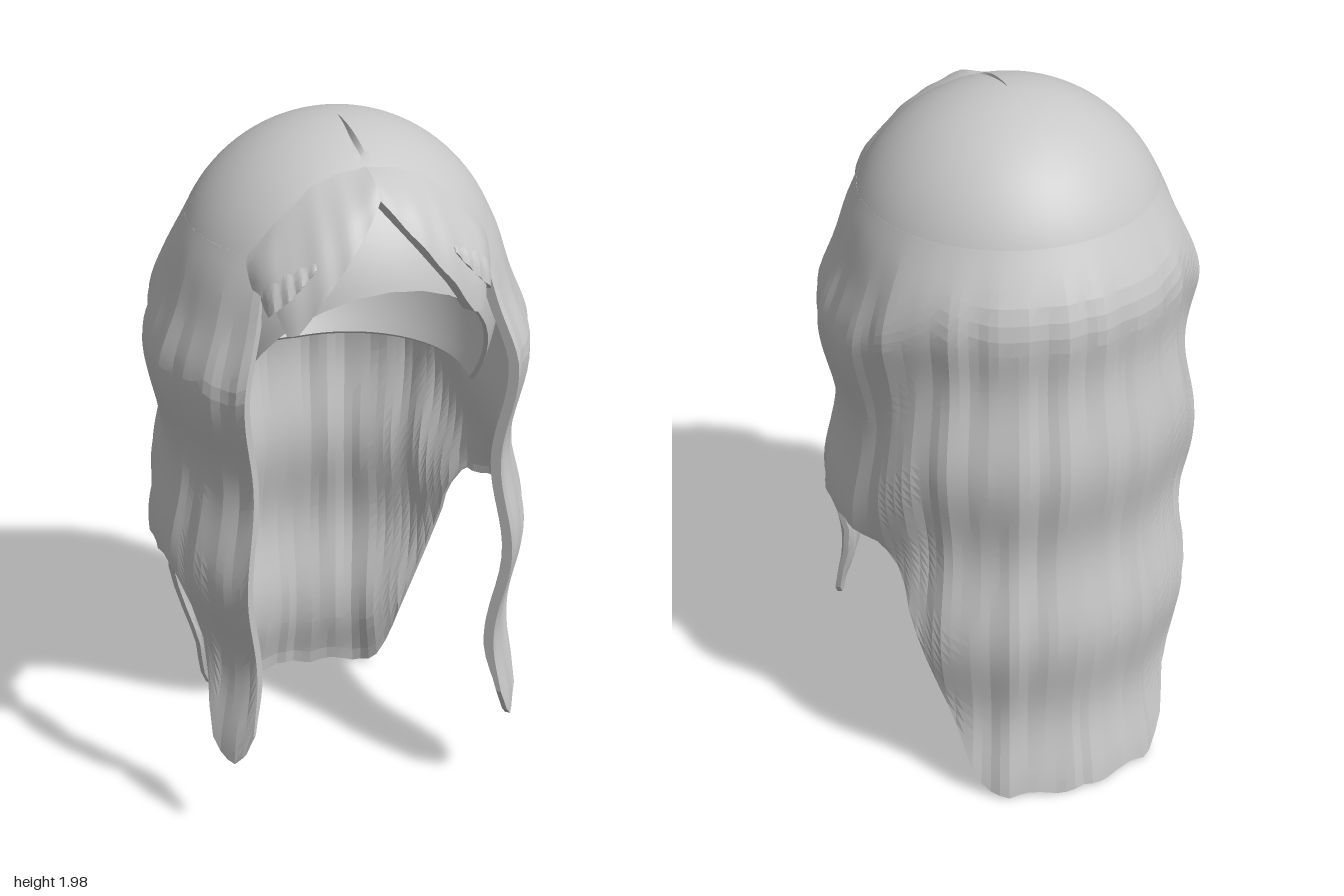
import * as THREE from 'three';
import { toCreasedNormals } from 'three/addons/utils/BufferGeometryUtils.js';

const CY = 1.56, CZ = 0.04, R = 0.44; // skull sphere
const DEG = Math.PI / 180;
const { smoothstep, lerp } = THREE.MathUtils;

// Piecewise linear lookup in a list of [input, output] pairs
function lookup(table, x) {
  if (x <= table[0][0]) return table[0][1];
  for (let i = 1; i < table.length; i++) {
    const [x0, y0] = table[i - 1], [x1, y1] = table[i];
    if (x <= x1) return lerp(y0, y1, (x - x0) / (x1 - x0));
  }
  return table[table.length - 1][1];
}

// Thick sheet: outer(u, v) and inner(u, v) give [x, y, z]; u runs towards +x at the front, v down
function shell(nu, nv, outer, inner, crease, capEnds) {
  const pos = [], idx = [], n = 2 * (nv + 1);
  for (let i = 0; i <= nu; i++) {
    for (let j = 0; j <= nv; j++) pos.push(...outer(i / nu, j / nv));
    for (let j = nv; j >= 0; j--) pos.push(...inner(i / nu, j / nv));
  }
  for (let i = 0; i < nu; i++) {
    for (let j = 0; j < n; j++) {
      const a = i * n + j, b = i * n + (j + 1) % n;
      idx.push(a, b, a + n, b, b + n, a + n);
    }
  }
  if (capEnds) {
    const e = nu * n;
    for (let j = 0; j < nv; j++) {
      const k = n - 1 - j;
      idx.push(j, k, j + 1, k, k - 1, j + 1);
      idx.push(e + j, e + j + 1, e + k, e + k, e + j + 1, e + k - 1);
    }
  }
  const geo = new THREE.BufferGeometry();
  geo.setAttribute('position', new THREE.Float32BufferAttribute(pos, 3));
  geo.setIndex(idx);
  return toCreasedNormals(geo, crease);
}

// Smooth skull cap with an arched face opening and a parting groove on top
function capGeometry() {
  const rim = [[0, 1.67], [12, 1.66], [24, 1.625], [35, 1.57], [46, 1.48], [56, 1.37], [66, 1.25], [80, 1.235], [180, 1.21]];
  const point = (u, v, thick) => {
    const psi = u * 2 * Math.PI;
    const fromFront = Math.min(u, 1 - u) * 360;
    const drop = lookup(rim, fromFront) - CY;
    const a = v * Math.acos(drop / (drop > 0 ? R : 0.58));
    const c = Math.cos(a), r = R * Math.sin(a);
    let k = 1 - thick / R;
    if (fromFront < 0.5 && thick === 0 && r > 0.01 && r < 0.22) k -= 0.035 * Math.sin(Math.PI * r / 0.22);
    return [k * r * Math.sin(psi), CY + k * (c > 0 ? R : 0.58) * c, CZ + k * r * Math.cos(psi)];
  };
  return shell(96, 40, (u, v) => point(u, v, 0), (u, v) => point(u, v, 0.012), 0.6, false);
}

// Long wavy hair round the back and sides, ending in two front locks
function lengthsGeometry() {
  // hem height by angle from the back
  const hem = [[0, 0.02], [31, 0.03], [35, 0.08], [40, 0.19], [45, 0.31], [54, 0.55], [61, 0.7], [66, 0.78], [70, 0.81],
    [104, 0.81], [108, 0.72], [115, 0.5], [121, 0.33], [125, 0.285], [130, 0.28], [133, 0.31], [136, 0.38]];
  const point = (u, v, thick) => {
    const deg = lerp(44, 316, u), psi = deg * DEG;
    const back = Math.abs(180 - deg);
    const flat = back < 32 || (back > 70 && back < 104);
    const bottom = lookup(hem, back) + (flat ? 0.016 * Math.abs(Math.cos(back * DEG * 11)) - 0.01 : 0);
    const y = lerp(1.74, bottom, v);
    const onSkull = Math.sqrt(Math.max(0, R * R - Math.max(0, y - CY) ** 2));
    const side = smoothstep(back, 45, 85);
    const wave = lerp(0.018, 0.022, side) * Math.cos((y - 1.1) / 0.55 * 2 * Math.PI + side * Math.PI);
    const flutes = 0.004 * Math.sin(back * DEG * 19) + 0.003 * Math.sin(back * DEG * 31 + y * 3);
    const hang = 0.5 + wave + flutes + 0.012 * smoothstep(back, 115, 136);
    const r = lerp(hang, onSkull, smoothstep(y, lerp(1.45, 1.38, side), 1.75)) - thick * (1 - 0.5 * smoothstep(v, 0.9, 1));
    return [r * Math.sin(psi), y, CZ + r * Math.cos(psi)];
  };
  return shell(90, 40, (u, v) => point(u, v, 0), (u, v) => point(u, v, 0.03), 0.12, true);
}

// Puffed fringe lock on the skull, swept from the parting to one side
function fringeGeometry(side, top, bottom, x0, x1, puff) {
  const point = (u, v, outer) => {
    const s = side > 0 ? u : 1 - u;
    const x = lerp(x0, x1, s);
    const y = lerp(lookup(top, x), lookup(bottom, x), v);
    const z = Math.sqrt(Math.max(0.001, R * R - x * x - (y - CY) ** 2));
    const ridge = 0.003 * Math.sin(s * 30);
    const fade = 1 - smoothstep(s, 0.75, 1);
    const k = outer ? 1 + (puff * Math.sin(Math.min(1, v * 1.3) * Math.PI / 2) * fade + ridge * v) / R : 0.985;
    return [side * x * k, CY + (y - CY) * k, CZ + z * k];
  };
  return shell(28, 12, (u, v) => point(u, v, true), (u, v) => point(u, v, false), 0.35, true);
}

export function createModel() {
  const hair = new THREE.MeshStandardMaterial({ color: 0xc8c8c8 });
  hair.name = 'hair grey';
  const group = new THREE.Group();
  group.name = 'wig';
  const add = (name, geo) => {
    const mesh = new THREE.Mesh(geo, hair);
    mesh.name = name;
    group.add(mesh);
  };

  add('skullCap', capGeometry());
  add('longHair', lengthsGeometry());

  const top = [[0, 1.935], [0.08, 1.925], [0.15, 1.9], [0.25, 1.82], [0.32, 1.74], [0.36, 1.67]];
  const mainEdge = [[0, 1.86], [0.08, 1.765], [0.16, 1.665], [0.22, 1.575], [0.245, 1.57], [0.265, 1.63], [0.3, 1.66], [0.34, 1.67]];
  const strandTop = [[0.17, 1.76], [0.24, 1.76], [0.31, 1.72]];
  const strandEdge = [[0.17, 1.73], [0.23, 1.66], [0.28, 1.61], [0.31, 1.66]];
  for (const side of [1, -1]) {
    const label = side > 0 ? 'left' : 'right';
    add(label + 'Fringe', fringeGeometry(side, top, mainEdge, 0, 0.34, 0.034));
    add(label + 'FringeStrand', fringeGeometry(side, strandTop, strandEdge, 0.17, 0.31, 0.036));
  }
  return group;
}
